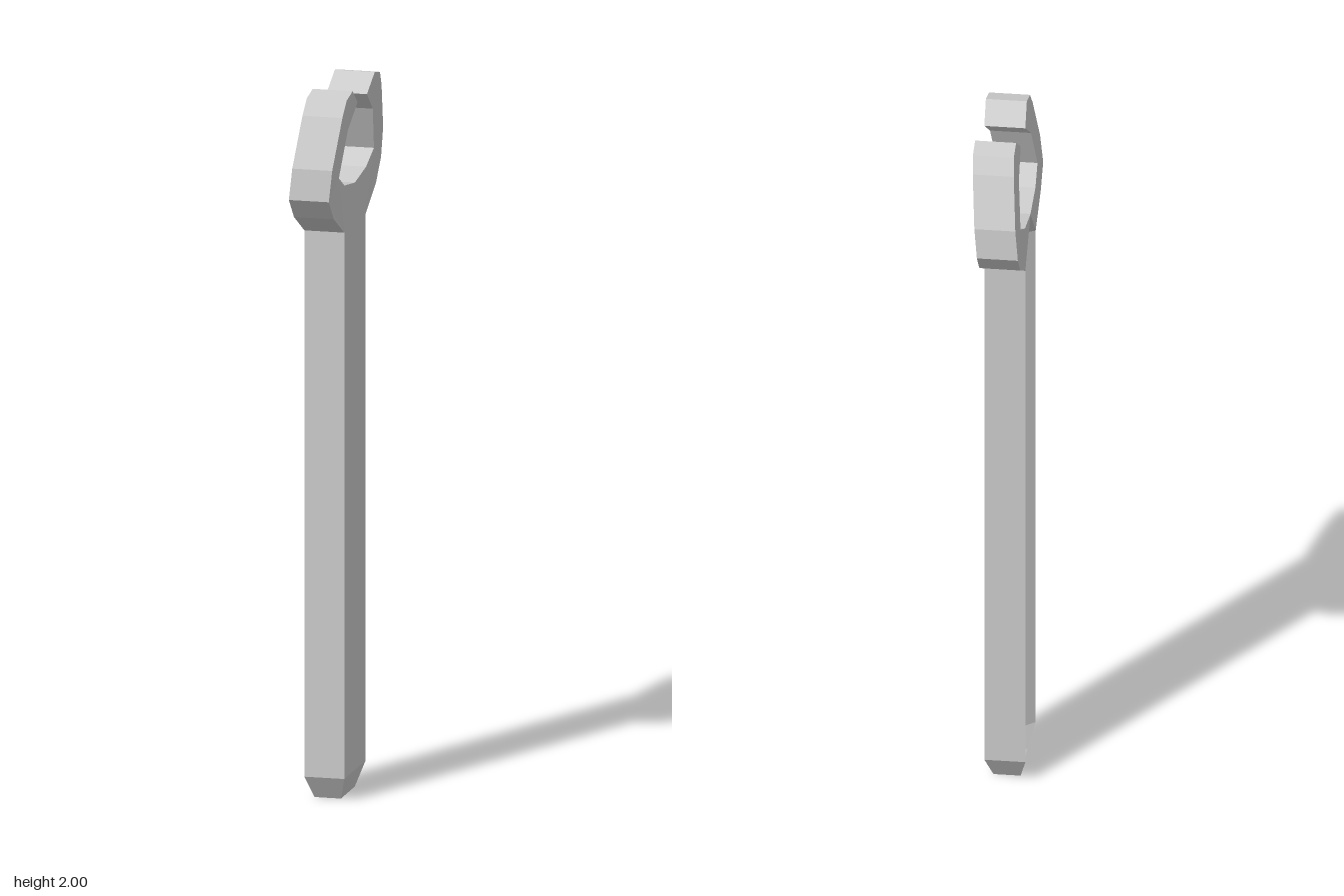
import * as THREE from 'three';

const BACK = -0.068, FRONT = 0.045; // thickness of the bar along x
const SHOULDER = 1.6, CHAMFER = 0.065, HALF = 0.115, THROAT = 1.715;
const FLOOR = 0.012; // x of the channel floor

// Half outline of the jaw as [z, y], from the shoulder round the tip to the throat
const JAW = [
  [HALF, SHOULDER], [0.228, 1.663], [0.283, 1.723], [0.276, 1.81], [0.212, 1.945],
  [0.18, 1.987], [0.119, 2.0], [0.051, 1.953], [0.135, 1.893], [0.19, 1.77],
  [0.117, 1.733], [0, THROAT],
];

// The head leans towards +x above the throat
const lean = (y) => Math.max(0, y - 1.723) * 0.09;
const at = (x, [z, y]) => [x + lean(y), y, z];

function meshFrom(name, triangles) {
  const geometry = new THREE.BufferGeometry();
  geometry.setAttribute('position', new THREE.Float32BufferAttribute(triangles.flat(2), 3));
  geometry.computeVertexNormals();
  const mesh = new THREE.Mesh(geometry, new THREE.MeshStandardMaterial({
    color: 0xcccccc, flatShading: true, side: THREE.DoubleSide,
  }));
  mesh.name = name;
  return mesh;
}

const quad = (a, b, c, d) => [[a, b, c], [a, c, d]];

// One jaw: two flat sides and the rim between them; side = +1 or -1 along z
function jaw(name, side) {
  const pts = JAW.map(([z, y]) => [z * side, y]);
  const faces = THREE.ShapeUtils.triangulateShape(JAW.map((p) => new THREE.Vector2(...p)), []);
  const tris = [];
  const add = (t) => tris.push(side > 0 ? t : [t[0], t[2], t[1]]);
  for (const [a, b, c] of faces) {
    add([at(FRONT, pts[a]), at(FRONT, pts[c]), at(FRONT, pts[b])]);
    add([at(BACK, pts[a]), at(BACK, pts[b]), at(BACK, pts[c])]);
  }
  // Rim, left open where the jaw joins the handle
  for (let i = 0; i < pts.length - 1; i++) {
    const p = pts[i], q = pts[i + 1];
    quad(at(BACK, p), at(FRONT, p), at(FRONT, q), at(BACK, q)).forEach(add);
  }
  return meshFrom(name, tris);
}

// Bar with a tapered foot and a slope-sided channel sunk into its -x side
function handle() {
  const ring = (x0, x1, z, y) => [[x0, y, z], [x1, y, z], [x1, y, -z], [x0, y, -z]];
  const foot = ring(-0.05, 0.025, 0.075, 0);
  const low = ring(BACK, FRONT, HALF, CHAMFER);
  const high = ring(BACK, FRONT, HALF, SHOULDER);
  const tris = [];
  for (let i = 0; i < 3; i++) {
    tris.push(...quad(foot[i], foot[i + 1], low[i + 1], low[i]));
    tris.push(...quad(low[i], low[i + 1], high[i + 1], high[i]));
  }
  tris.push(...quad(foot[3], foot[2], foot[1], foot[0])); // end face
  tris.push([high[1], high[2], [FRONT, THROAT, 0]]); // web up to the throat

  // Channel: sloping walls from the mouth to a smaller floor
  const mouth = [[BACK, THROAT, 0], high[3], low[3], foot[3], foot[0], low[0], high[0]];
  const floor = [
    [0, 1.66], [-0.053, 1.61], [-0.053, 0.06], [-0.035, 0.03],
    [0.035, 0.03], [0.053, 0.06], [0.053, 1.61],
  ].map(([z, y]) => [FLOOR, y, z]);
  for (let i = 0; i < mouth.length; i++) {
    const j = (i + 1) % mouth.length;
    tris.push(...quad(mouth[i], mouth[j], floor[j], floor[i]));
    if (i > 0 && j > 0) tris.push([floor[0], floor[i], floor[j]]);
  }
  return meshFrom('handle', tris);
}

export function createModel() {
  const group = new THREE.Group();
  group.name = 'openEndWrench';
  group.add(handle(), jaw('frontJaw', 1), jaw('backJaw', -1));
  return group;
}
